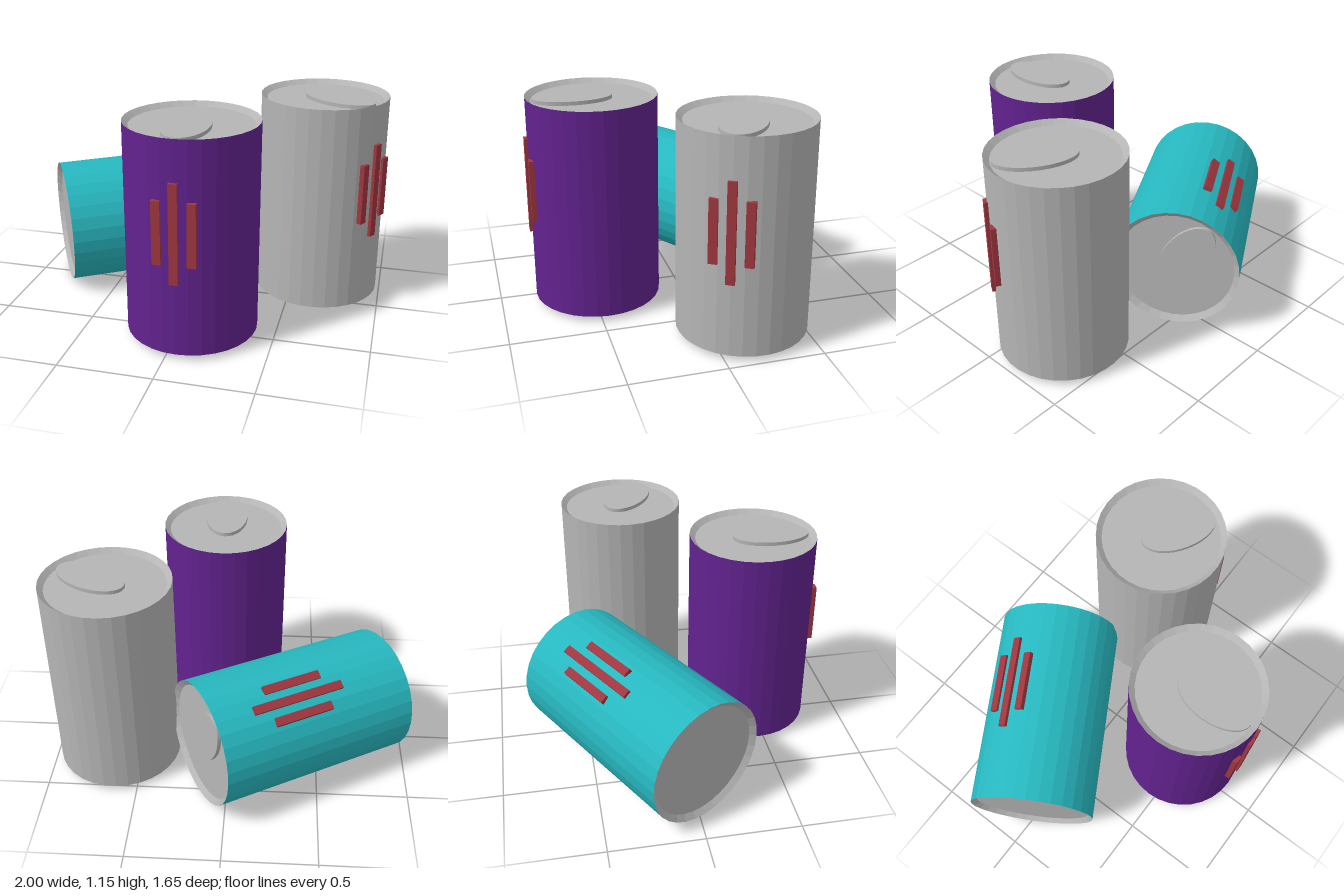
import * as THREE from 'three';

const R = 0.345, H = 1.125, RIM = 0.03, RECESS = 0.025, SIDES = 32;

const mat = (name, color) => {
  const m = new THREE.MeshStandardMaterial({ color });
  m.name = name;
  return m;
};

// Faceted surface of revolution from [radius, height] pairs
function facetedLathe(points) {
  const g = new THREE.LatheGeometry(points.map(([r, y]) => new THREE.Vector2(r, y)), SIDES).toNonIndexed();
  g.computeVertexNormals();
  return g;
}

// A can standing along y, centred on the origin, its stripes facing +z
function makeCan(name, bodyMat, metal, red) {
  const can = new THREE.Group();
  can.name = name;
  const add = (part, geometry, material) => {
    const mesh = new THREE.Mesh(geometry, material);
    mesh.name = part;
    can.add(mesh);
    return mesh;
  };
  const h = H / 2, lidY = h - RECESS, inner = R - RIM;

  add('canBody', facetedLathe([[R, -h], [R, h]]), bodyMat);

  // Ends: a rim sloping inward to a recessed disc
  add('lid', facetedLathe([[R, h], [inner, lidY], [0, lidY]]), metal);
  add('base', facetedLathe([[0, -lidY], [inner, -lidY], [R, -h]]), metal);

  // Oval pull tab on the lid
  const tab = add('pullTab', new THREE.CylinderGeometry(1, 1, 0.02, SIDES), metal);
  tab.scale.set(0.117, 1, 0.21);
  tab.position.set(0, lidY + 0.01, 0.1);

  // Three raised stripes, the middle one longer
  for (const side of [-1, 0, 1]) {
    const stripe = add('stripe', new THREE.BoxGeometry(0.045, side ? 0.33 : 0.52, 0.04), red);
    stripe.position.set(side * 0.088, 0.09, side ? 0.332 : 0.341);
  }
  return can;
}

export function createModel() {
  const model = new THREE.Group();
  model.name = 'cans';
  const metal = mat('metal', 0xb4b5b4);
  const purple = mat('purple', 0x62228f);
  const teal = mat('teal', 0x27b8c0);
  const red = mat('red', 0xa0363f);

  // Two standing cans
  const front = makeCan('purpleCan', purple, metal, red);
  front.position.set(0.057, 0.592, 0.462);

  const right = makeCan('metalCan', metal, metal, red);
  right.position.set(0.635, 0.592, -0.19);
  right.rotation.y = Math.PI / 3;

  // Fallen can: slightly tilted axis, stripes turned up and back
  const fallen = makeCan('tealCan', teal, metal, red);
  const roll = THREE.MathUtils.degToRad(34);
  const axis = new THREE.Vector3(0.866, 0.024, -0.5).normalize();
  const facing = new THREE.Vector3(-0.5 * Math.sin(roll), Math.cos(roll), -0.866 * Math.sin(roll));
  const across = new THREE.Vector3().crossVectors(axis, facing).normalize();
  facing.crossVectors(across, axis);
  fallen.quaternion.setFromRotationMatrix(new THREE.Matrix4().makeBasis(across, axis, facing));
  fallen.position.set(-0.345, 0.359, -0.248);

  model.add(front, right, fallen);
  return model;
}
